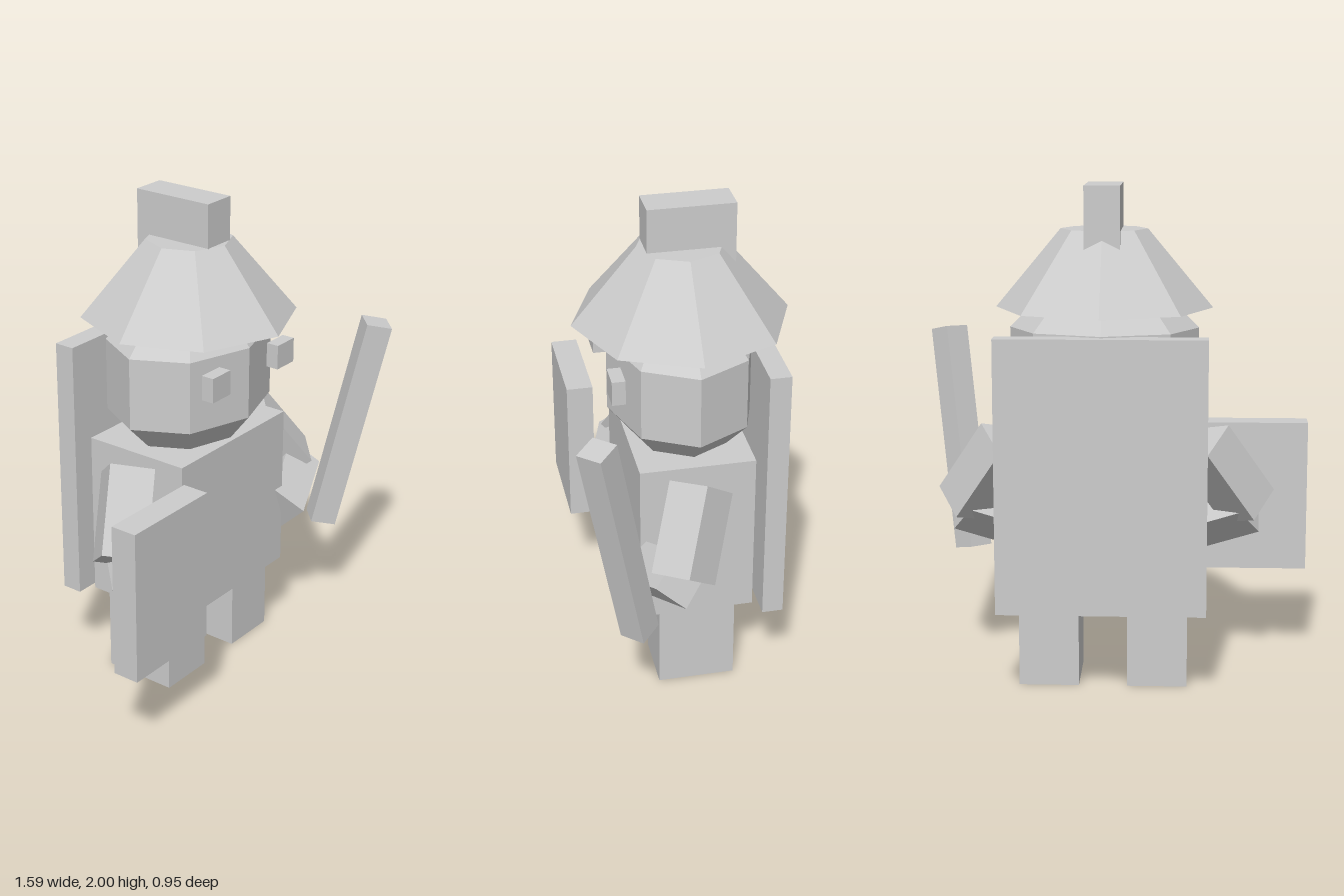
import * as THREE from 'three';

const CENTRE_X = 0.033;
const CENTRE_Z = -0.05;

export function createModel() {
  const root = new THREE.Group();
  root.name = 'blockyWarrior';
  const grey = new THREE.MeshStandardMaterial({ color: 0xcccccc });
  grey.name = 'plainGrey';

  const add = (name, geometry, x, y, z) => {
    const mesh = new THREE.Mesh(geometry, grey);
    mesh.name = name;
    mesh.position.set(x, y, z);
    root.add(mesh);
    return mesh;
  };

  // Axis-aligned box from its lower and upper limits
  const block = (name, [x0, x1], [y0, y1], [z0, z1]) =>
    add(name, new THREE.BoxGeometry(x1 - x0, y1 - y0, z1 - z0),
      (x0 + x1) / 2, (y0 + y1) / 2, (z0 + z1) / 2);

  // Square bar whose long axis and one side direction are given
  const bar = (name, width, length, centre, axis, side) => {
    const y = new THREE.Vector3(...axis).normalize();
    const x = new THREE.Vector3(...side);
    x.addScaledVector(y, -x.dot(y)).normalize();
    const z = new THREE.Vector3().crossVectors(x, y);
    const mesh = add(name, new THREE.BoxGeometry(width, length, width), ...centre);
    mesh.quaternion.setFromRotationMatrix(new THREE.Matrix4().makeBasis(x, y, z));
    return mesh;
  };

  // Faceted solid of revolution with eight sides
  const faceted = (profile) => {
    const points = profile.map(([r, y]) => new THREE.Vector2(r, y));
    const geometry = new THREE.LatheGeometry(points, 8).toNonIndexed();
    geometry.computeVertexNormals();
    return geometry;
  };

  // Torso and back panel
  block('torso', [-0.31, 0.373], [0.345, 1.03], [-0.28, 0.18]);
  block('backPanel', [-0.378, 0.445], [0.345, 1.43], [-0.39, -0.305]);

  // Head: bevelled octagon, narrower from front to back
  const head = add('head',
    faceted([[0, 1.03], [0.265, 1.03], [0.375, 1.14], [0.375, 1.435], [0.265, 1.545], [0, 1.545]]),
    CENTRE_X, 0, CENTRE_Z);
  head.geometry.scale(1, 1, 0.295 / 0.375);
  head.geometry.computeVertexNormals();

  // Helmet and its crest
  add('helmet',
    faceted([[0, 1.515], [0.43, 1.515], [0.172, 1.825], [0, 1.825]]),
    CENTRE_X, 0, CENTRE_Z);
  block('helmetCrest', [-0.037, 0.103], [1.66, 2], [-0.25, 0.095]);

  // Paired parts, mirrored about the body's middle
  for (const s of [1, -1]) {
    const label = s > 0 ? 'left' : 'right';
    const at = (x) => CENTRE_X + s * (x - CENTRE_X);
    const span = (a, b) => [at(a), at(b)].sort((p, q) => p - q);

    block(label + 'Leg', span(0.13, 0.37), [0, 0.35], [-0.207, 0.105]);
    block(label + 'Eye', span(0.19, 0.3), [1.3, 1.4], [0.217, 0.27]);
    bar(label + 'UpperArm', 0.178, 0.36,
      [at(0.52), 0.83, 0.005], [s * 0.19, -0.285, 0.11], [s * 0.085, 0.1, 0.12]);
    bar(label + 'Forearm', 0.163, 0.3,
      [at(0.49), 0.634, 0.118], [s * -0.868, -0.346, 0.331], [0, 0.69, 0.72]);
  }

  // Shield in the right hand, tilted sword in the left
  block('shield', [-0.8, -0.37], [0.375, 1], [0.237, 0.347]);
  bar('sword', 0.107, 0.934, [0.659, 0.917, 0.315], [0.111, 0.912, 0.17], [1, 0, 1]);

  return root;
}
